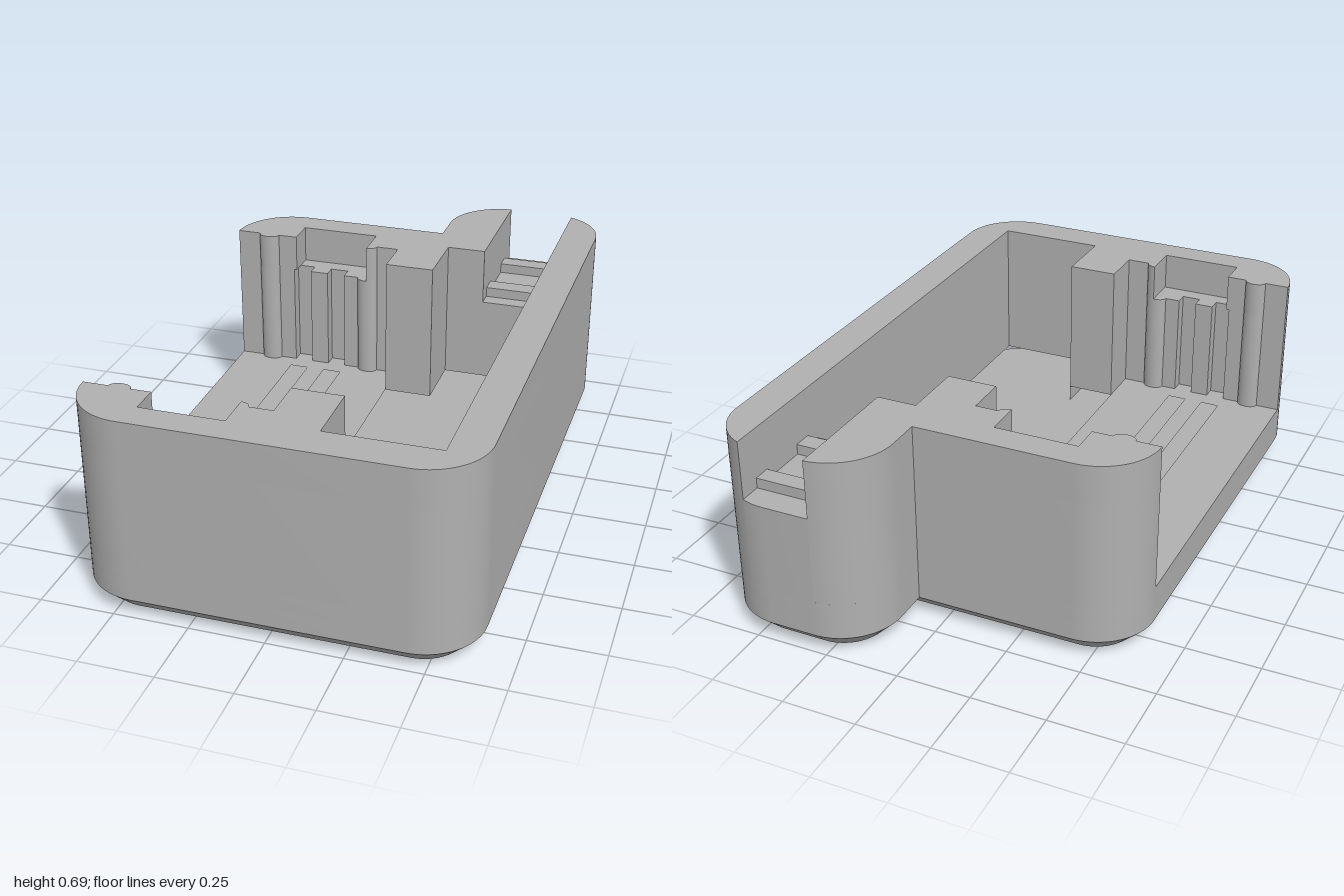
import * as THREE from 'three';
import { toCreasedNormals } from 'three/addons/utils/BufferGeometryUtils.js';

const R = 0.2, TOP = 0.69, CHAMFER = 0.064, DEEP = 0.13, FLOOR = 0.19, LEDGE = 0.56, BED = 0.49;

// Plan points are [x, z]; angles in degrees
function arc(cx, cz, r, a0, a1, n = 16) {
  return Array.from({ length: n + 1 }, (_, i) => {
    const a = THREE.MathUtils.degToRad(a0 + (a1 - a0) * i / n);
    return [cx + r * Math.cos(a), cz + r * Math.sin(a)];
  });
}

// Outer plan of the case, inset by d
function outline(d) {
  const r = R - d;
  return [
    ...arc(-0.44, -0.485, r, 180, 270),
    [0.09 + d, -0.685 + d],
    ...arc(0.29, -0.8, r, 180, 270),
    ...arc(0.44, -0.8, r, 270, 360),
    ...arc(0.44, 0.8, r, 0, 90),
    ...arc(-0.44, 0.8, r, 90, 180),
  ];
}

const rect = (x0, x1, z0, z1) => [[x0, z0], [x1, z0], [x1, z1], [x0, z1]];

// Prism standing between two heights on a plan, with optional holes
function prism(points, y0, y1, holes = []) {
  const vec = (list) => list.map(([x, z]) => new THREE.Vector2(x, -z));
  const shape = new THREE.Shape(vec(points));
  shape.holes = holes.map((h) => new THREE.Path(vec(h)));
  const geo = new THREE.ExtrudeGeometry(shape, { depth: y1 - y0, bevelEnabled: false });
  geo.rotateX(-Math.PI / 2).translate(0, y0, 0);
  return toCreasedNormals(geo, 0.5);
}

// Sloping band between the foot and the side wall
function chamferBand() {
  const lo = outline(CHAMFER), up = outline(0), pos = [];
  lo.forEach((_, i) => {
    const j = (i + 1) % lo.length;
    const a = [lo[i][0], 0, lo[i][1]], b = [up[i][0], CHAMFER, up[i][1]];
    const c = [up[j][0], CHAMFER, up[j][1]], d = [lo[j][0], 0, lo[j][1]];
    pos.push(...a, ...b, ...c, ...a, ...c, ...d);
  });
  const geo = new THREE.BufferGeometry();
  geo.setAttribute('position', new THREE.Float32BufferAttribute(pos, 3));
  return toCreasedNormals(geo, 0.5);
}

// Inner end wall of the open bay: ribs, contact grooves below, pocket above
function endWall(z, side, upper) {
  const rib = (cx, from = 180) => arc(cx, 0, 1, from, 0, 10)
    .map(([x, s]) => [cx + (x - cx) * 0.037, -s * 0.025]);
  const groove = (x0, x1, depth) => [[x0, 0], [x0, depth], [x1, depth], [x1, 0]];
  const pts = upper
    ? [...rib(-0.52), [-0.415, 0], [-0.415, 0.1], [-0.137, 0.1], ...rib(-0.14, 85)]
    : [...rib(-0.52), ...groove(-0.425, -0.36, 0.045), ...groove(-0.295, -0.23, 0.045), ...rib(-0.14)];
  return pts.map(([x, e]) => [x, z + side * e]);
}

const rearWall = (upper) => [
  ...arc(-0.44, -0.485, R, 180, 270),
  [0.09, -0.685],
  ...arc(0.29, -0.8, R, 180, 267.1),
  [0.28, -0.56], [0.145, -0.56], [0.145, -0.34], [-0.025, -0.34], [-0.025, -0.485],
  ...endWall(-0.485, -1, upper).reverse(),
];

const frontWall = (upper) => [
  [0.515, -0.56],
  ...arc(0.44, -0.8, R, 292, 360),
  ...arc(0.44, 0.8, R, 0, 90),
  ...arc(-0.44, 0.8, R, 90, 180),
  ...endWall(0.8, 1, upper),
  [-0.025, 0.8], [-0.025, 0.65], [0.145, 0.65], [0.145, 0.875], [0.515, 0.875],
];

export function createModel() {
  const group = new THREE.Group();
  const grey = new THREE.MeshStandardMaterial({ color: 0xb0b0b0 });
  grey.name = 'plainGrey';
  const add = (name, geo) => {
    const mesh = new THREE.Mesh(geo, grey);
    mesh.name = name;
    group.add(mesh);
  };

  // Underside and base
  const foot = new THREE.Shape(outline(CHAMFER).map(([x, z]) => new THREE.Vector2(x, z)));
  add('underside', new THREE.ShapeGeometry(foot).rotateX(Math.PI / 2));
  add('chamfer', chamferBand());
  add('base', prism(outline(0), CHAMFER, DEEP));

  // Raised bay floor around the deep compartment, with two long slots
  const compartment = [
    [-0.025, -0.34], [0.145, -0.34], [0.145, -0.56], [0.515, -0.56],
    [0.515, 0.875], [0.145, 0.875], [0.145, 0.65], [-0.025, 0.65],
  ];
  add('bayFloor', prism(outline(0), DEEP, FLOOR, [
    compartment, rect(-0.425, -0.36, -0.425, 0.735), rect(-0.295, -0.23, -0.425, 0.735),
  ]));

  // Walls, below and above the pocket ledge
  for (const [part, y0, y1, upper] of [['lower', FLOOR, LEDGE, false], ['upper', LEDGE, TOP, true]]) {
    add(part + 'RearWall', prism(rearWall(upper), y0, y1));
    add(part + 'FrontAndSideWall', prism(frontWall(upper), y0, y1));
  }

  // Cable channel at the back with two clamping ridges
  add('channelBed', prism([
    [0.28, -0.56], ...arc(0.29, -0.8, R, 267.1, 270, 1), ...arc(0.44, -0.8, R, 270, 292, 4), [0.515, -0.56],
  ], FLOOR, BED));
  for (const [z0, z1] of [[-0.91, -0.85], [-0.68, -0.615]]) {
    add('channelRidge', prism(rect(0.28, 0.515, z0, z1), BED, BED + 0.035));
  }
  return group;
}
